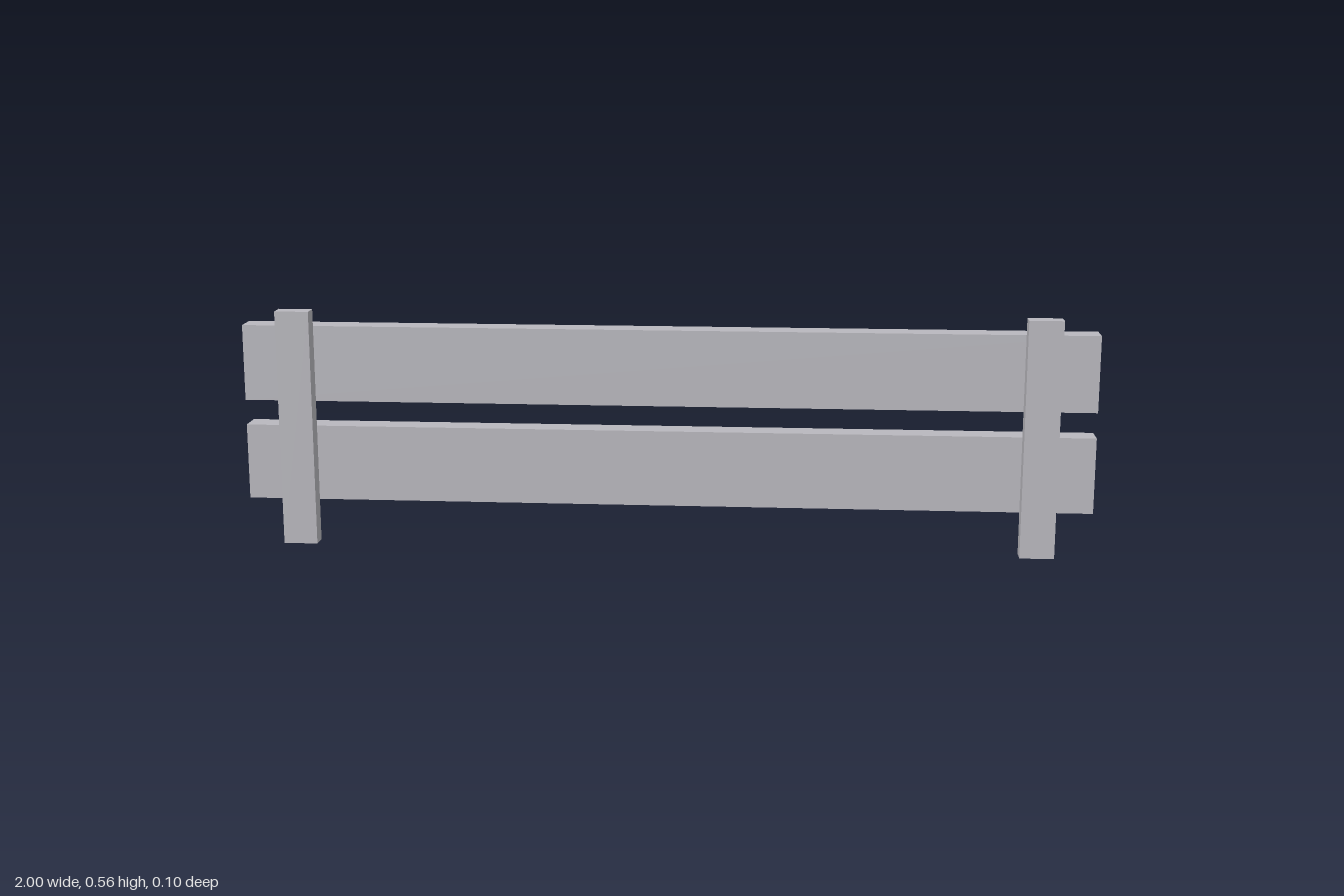
import * as THREE from 'three';

export function createModel() {
  const model = new THREE.Group();
  model.name = 'guardRail';
  const steel = new THREE.MeshStandardMaterial({ name: 'galvanised grey', color: 0xb9b8be, flatShading: true });

  // Posts, standing in front of the rails
  const postGeometry = new THREE.BoxGeometry(0.08, 0.56, 0.04);
  for (const [name, side] of [['leftPost', 1], ['rightPost', -1]]) {
    const post = new THREE.Mesh(postGeometry, steel);
    post.name = name;
    post.position.set(side * 0.87, 0.28, 0.03);
    model.add(post);
  }

  // Rail cross-section: flat front, channelled back (first value is depth towards -z)
  const profile = new THREE.Shape([
    [-0.01, 0], [0.05, 0], [0.03, 0.048], [0.03, 0.133], [0.05, 0.18], [-0.01, 0.18],
  ].map(([d, y]) => new THREE.Vector2(d, y)));
  const railGeometry = new THREE.ExtrudeGeometry(profile, { depth: 2, bevelEnabled: false });
  railGeometry.rotateY(Math.PI / 2).translate(-1, 0, 0);

  for (const [name, y] of [['lowerRail', 0.1], ['upperRail', 0.34]]) {
    const rail = new THREE.Mesh(railGeometry, steel);
    rail.name = name;
    rail.position.y = y;
    model.add(rail);
  }
  return model;
}
